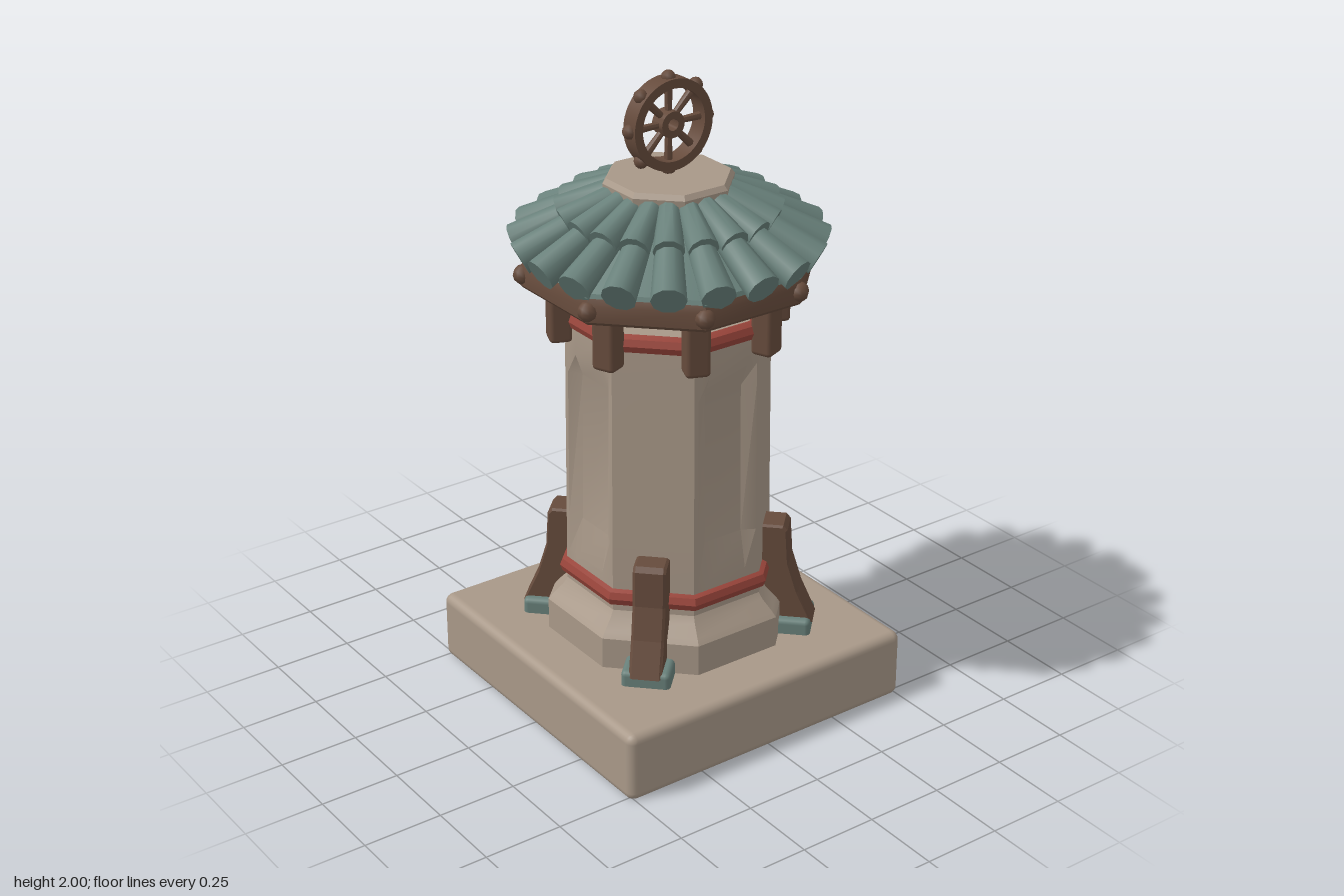
import * as THREE from 'three';
import { toCreasedNormals } from 'three/addons/utils/BufferGeometryUtils.js';
import { RoundedBoxGeometry } from 'three/addons/geometries/RoundedBoxGeometry.js';

const material = (name, color, side = THREE.FrontSide) => {
  const m = new THREE.MeshStandardMaterial({ color, side });
  m.name = name;
  return m;
};
const V = (x, y, z) => new THREE.Vector3(x, y, z);
const COS = Math.cos(Math.PI / 8);

export function createModel() {
  const stone = material('stone', 0xa89888, THREE.DoubleSide);
  const wood = material('wood', 0x664b3c);
  const tile = material('roofTile', 0x68807a);
  const paint = material('redPaint', 0x98443a);
  const model = new THREE.Group();
  model.name = 'stoneLantern';

  const add = (name, geometry, mat, parent = model) => {
    const mesh = new THREE.Mesh(geometry, mat);
    mesh.name = name;
    parent.add(mesh);
    return mesh;
  };
  const group = (name, parent = model) => {
    const g = new THREE.Group();
    g.name = name;
    parent.add(g);
    return g;
  };

  // Tapered rod from a to b
  const rod = (name, a, b, ra, rb, sides, mat, parent) => {
    const g = new THREE.CylinderGeometry(rb, ra, a.distanceTo(b), sides);
    const mesh = add(name, toCreasedNormals(g, 0.9), mat, parent);
    mesh.position.copy(a).add(b).multiplyScalar(0.5);
    mesh.quaternion.setFromUnitVectors(V(0, 1, 0), b.clone().sub(a).normalize());
    return mesh;
  };

  // Closed skin through cross-sections listed from bottom to top
  const loft = (sections) => {
    const n = sections[0].length, pos = [];
    const put = (...pts) => pts.forEach((p) => pos.push(p.x, p.y, p.z));
    for (let k = 0; k < sections.length - 1; k++) {
      for (let i = 0; i < n; i++) {
        const j = (i + 1) % n, lo = sections[k], hi = sections[k + 1];
        put(lo[i], hi[i], lo[j], lo[j], hi[i], hi[j]);
      }
    }
    const first = sections[0], last = sections[sections.length - 1];
    for (let i = 0; i < n; i++) {
      const j = (i + 1) % n;
      put(V(0, first[0].y, 0), first[i], first[j]);
      put(V(0, last[0].y, 0), last[j], last[i]);
    }
    const g = new THREE.BufferGeometry();
    g.setAttribute('position', new THREE.Float32BufferAttribute(pos, 3));
    return toCreasedNormals(g, 0.5);
  };

  // Octagon section with flats facing the axes, r measured to the flats
  const octagon = (r, y) => Array.from({ length: 8 }, (_, i) => {
    const a = (i + 0.5) * Math.PI / 4;
    return V(Math.cos(a) * r / COS, y, Math.sin(a) * r / COS);
  });
  const octStack = (rows) => loft(rows.map(([r, y]) => octagon(r, y)));

  // Hollow base slab, open underneath
  const slab = new RoundedBoxGeometry(1.045, 0.225, 1.03, 3, 0.028);
  const side = slab.attributes.position.count / 6;
  for (const key of ['position', 'normal']) {
    const a = Array.from(slab.attributes[key].array);
    a.splice(side * 9, side * 3);
    slab.setAttribute(key, new THREE.Float32BufferAttribute(a, 3));
  }
  slab.deleteAttribute('uv');
  slab.clearGroups();
  add('baseSlab', slab, stone).position.y = 0.1125;

  // Stepped plinth
  add('plinth', octStack([[0.355, 0.215], [0.355, 0.325], [0.342, 0.342], [0.31, 0.375], [0.295, 0.4]]), stone);

  // Tower body with a soft recessed panel on each axis face
  const bodySection = (y, r, depth) => {
    const pts = [], half = r * Math.tan(Math.PI / 8);
    for (let q = 0; q < 4; q++) {
      const c = Math.cos(q * Math.PI / 2), s = Math.sin(q * Math.PI / 2);
      for (const [t, d] of [[-1, 0], [-0.88, 0], [-0.55, 1], [0.55, 1], [0.88, 0], [1, 0]]) {
        const u = r - d * depth, w = t * half;
        pts.push(V(u * c - w * s, y, u * s + w * c));
      }
    }
    return pts;
  };
  add('towerBody', loft([
    [0.38, 0.298, 0], [0.5, 0.298, 0], [0.62, 0.297, 0.022], [1.1, 0.293, 0.026],
    [1.17, 0.292, 0], [1.25, 0.29, 0],
  ].map(([y, r, d]) => bodySection(y, r, d))), stone);

  // Painted octagonal bands
  for (const [name, r, y, tube] of [['lowerBand', 0.293, 0.442, 0.029], ['upperBand', 0.276, 1.272, 0.029]]) {
    const g = new THREE.TorusGeometry(r / COS, tube, 8, 8);
    g.rotateX(Math.PI / 2).rotateY(Math.PI / 8);
    add(name, toCreasedNormals(g, 0.6), paint).position.y = y;
  }

  // Corner braces on stone-shod feet
  const braceShape = new THREE.Shape([
    [0.35, 0.26], [0.45, 0.26], [0.405, 0.36], [0.375, 0.46], [0.368, 0.57],
    [0.358, 0.582], [0.285, 0.582], [0.285, 0.45], [0.31, 0.37],
  ].map(([x, y]) => new THREE.Vector2(x, y)));
  const braceGeo = new THREE.ExtrudeGeometry(braceShape, {
    depth: 0.084, bevelEnabled: true, bevelSize: 0.006, bevelThickness: 0.008, bevelSegments: 1,
  });
  braceGeo.translate(0, 0, -0.042);
  const footGeo = new RoundedBoxGeometry(0.115, 0.072, 0.15, 2, 0.016);
  for (let i = 0; i < 4; i++) {
    const corner = group('cornerBrace');
    corner.rotation.y = Math.PI / 4 + i * Math.PI / 2;
    add('brace', braceGeo, wood, corner);
    add('foot', footGeo, tile, corner).position.set(0.395, 0.238, 0);
  }

  // Gallery posts, eave and studs at the eight corners
  add('eave', octStack([[0.405, 1.38], [0.413, 1.39], [0.413, 1.44], [0.4, 1.465]]), wood);
  const postGeo = new RoundedBoxGeometry(0.07, 0.2, 0.075, 2, 0.014);
  const studGeo = new THREE.SphereGeometry(0.03, 8, 6);
  for (let i = 0; i < 8; i++) {
    const corner = group('galleryCorner');
    corner.rotation.y = (i + 0.5) * Math.PI / 4;
    add('post', postGeo, wood, corner).position.set(0.333, 1.303, 0);
    add('stud', studGeo, wood, corner).position.set(0.437, 1.42, 0);
  }

  // Roof: sloped deck under two tiers of round tiles
  add('roofDeck', octStack([[0.41, 1.462], [0.405, 1.475], [0.17, 1.625]]), tile);
  const tiles = group('roofTiles');
  for (let i = 0; i < 20; i++) {
    const row = group('tileRow', tiles);
    row.rotation.y = i * Math.PI / 10;
    rod('lowerTile', V(0.452, 1.485, 0), V(0.2, 1.62, 0), 0.052, 0.034, 10, tile, row);
    rod('upperTile', V(0.318, 1.578, 0), V(0.165, 1.65, 0), 0.046, 0.032, 10, tile, row);
  }
  add('roofCap', octStack([[0.175, 1.62], [0.183, 1.68], [0.172, 1.695]]), stone);

  // Spoked wheel finial standing across the roof
  const wheel = group('wheelFinial');
  wheel.position.set(-0.01, 1.845, -0.005);
  wheel.rotation.y = Math.PI / 2;
  const ring = (name, outer, inner, depth, segs) => {
    const shape = new THREE.Shape().absarc(0, 0, outer, 0, Math.PI * 2);
    shape.holes.push(new THREE.Path().absarc(0, 0, inner, 0, Math.PI * 2, true));
    const g = new THREE.ExtrudeGeometry(shape, { depth, curveSegments: segs, bevelEnabled: false });
    g.translate(0, 0, -depth / 2);
    add(name, toCreasedNormals(g, 0.6), wood, wheel);
  };
  ring('rim', 0.138, 0.11, 0.058, 24);
  ring('hub', 0.04, 0.018, 0.05, 12);
  const knobGeo = new THREE.SphereGeometry(0.022, 8, 6);
  for (let i = 0; i < 8; i++) {
    const a = i * Math.PI / 4, c = Math.cos(a), s = Math.sin(a);
    rod('spoke', V(c * 0.034, s * 0.034, 0), V(c * 0.115, s * 0.115, 0), 0.01, 0.013, 8, wood, wheel);
    add('knob', knobGeo, wood, wheel).position.set(c * 0.137, s * 0.137, 0);
  }
  return model;
}
